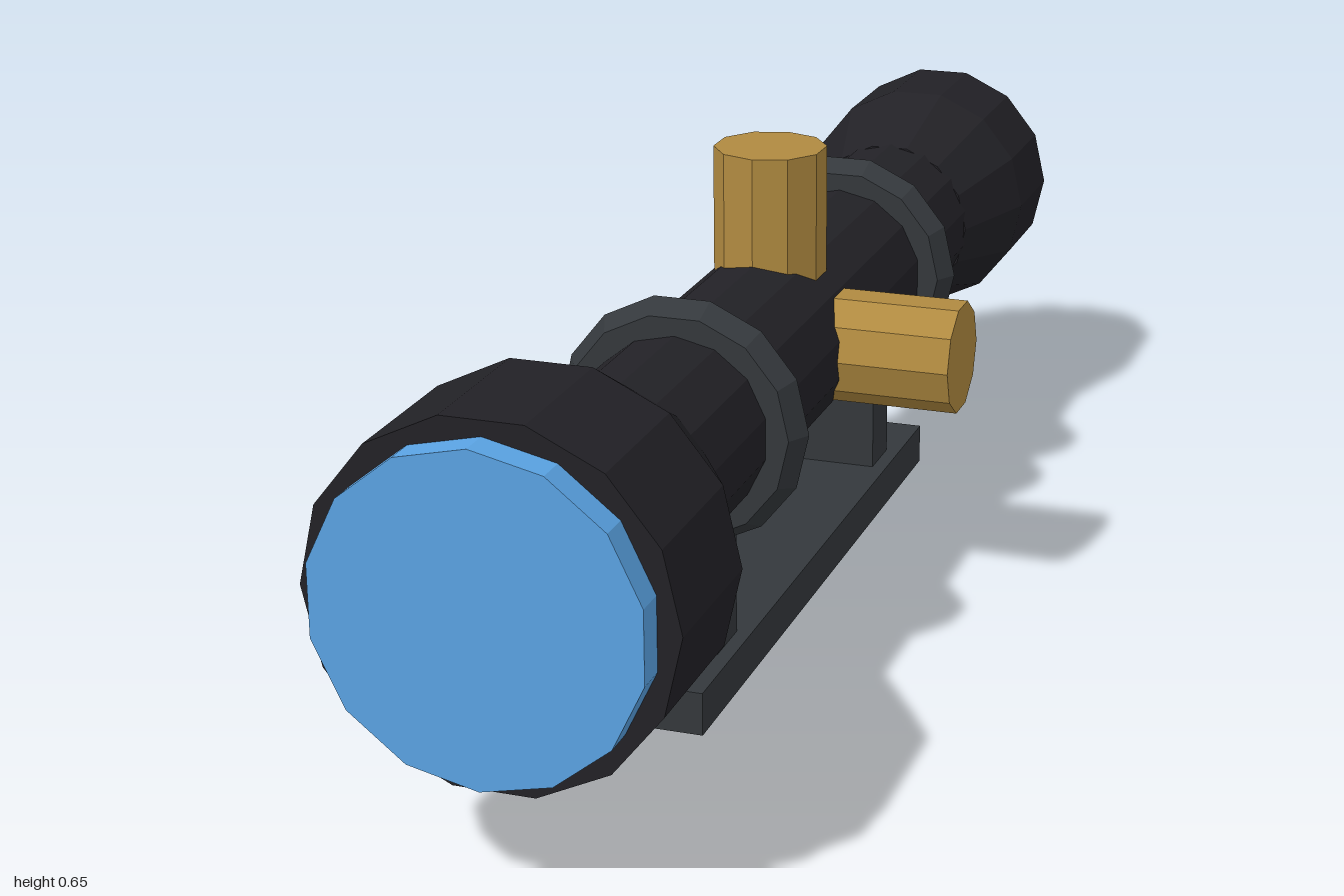
import * as THREE from 'three';

const SIDES = 14;
const CX = -0.025, CY = 0.37, MID = -0.037; // tube axis and middle of the mount

const paint = (color) => new THREE.MeshStandardMaterial({ color, flatShading: true });

export function createModel() {
  const model = new THREE.Group();
  const black = paint(0x222126);
  const metal = paint(0x34383c);
  const brass = paint(0xb08a40);
  const glass = paint(0x5aa3e3);

  const add = (name, geometry, material, x, y, z) => {
    const mesh = new THREE.Mesh(geometry, material);
    mesh.name = name;
    mesh.position.set(x, y, z);
    model.add(mesh);
    return mesh;
  };

  // Cylinder lying along z between two depths
  const rod = (name, radius, z0, z1, material) =>
    add(name, new THREE.CylinderGeometry(radius, radius, z1 - z0, SIDES).rotateX(Math.PI / 2),
      material, CX, CY, (z0 + z1) / 2);

  // Flared housing turned from a [radius, z] profile, with corners on the x axis
  const bell = (name, profile) => {
    const points = profile.map(([r, z]) => new THREE.Vector2(r, z));
    add(name, new THREE.LatheGeometry(points, SIDES, Math.PI / 2).rotateX(Math.PI / 2), black, CX, CY, 0);
  };

  // Optical tube, flared ends and lenses
  rod('mainTube', 0.127, -0.66, 0.58, black);
  bell('objectiveBell', [[0, 0.56], [0.127, 0.56], [0.232, 0.76], [0.232, 0.96], [0, 0.96]]);
  bell('eyepieceBell', [[0, -0.955], [0.179, -0.955], [0.179, -0.795], [0.127, -0.635], [0, -0.635]]);
  rod('objectiveLens', 0.207, 0.93, 1, glass);
  rod('eyepieceLens', 0.159, -1, -0.93, glass);

  // Adjustment turrets on the top and the left side
  const turret = (length) => new THREE.CylinderGeometry(0.079, 0.079, length, 10);
  add('topTurret', turret(0.22), brass, CX, 0.54, MID);
  add('sideTurret', turret(0.22).rotateZ(-Math.PI / 2), brass, 0.146, CY, MID);

  // Mounting rings with their posts
  for (const [label, side] of [['front', 1], ['rear', -1]]) {
    const z = MID + side * 0.36;
    add(label + 'Ring', new THREE.TorusGeometry(0.137, 0.036, 6, SIDES), metal, CX, CY, z);
    add(label + 'Post', new THREE.BoxGeometry(0.118, 0.22, 0.078), metal, CX, 0.16, z);
  }

  // Base rail
  add('baseRail', new THREE.BoxGeometry(0.16, 0.06, 1.036), metal, CX, 0.03, MID);

  return model;
}
